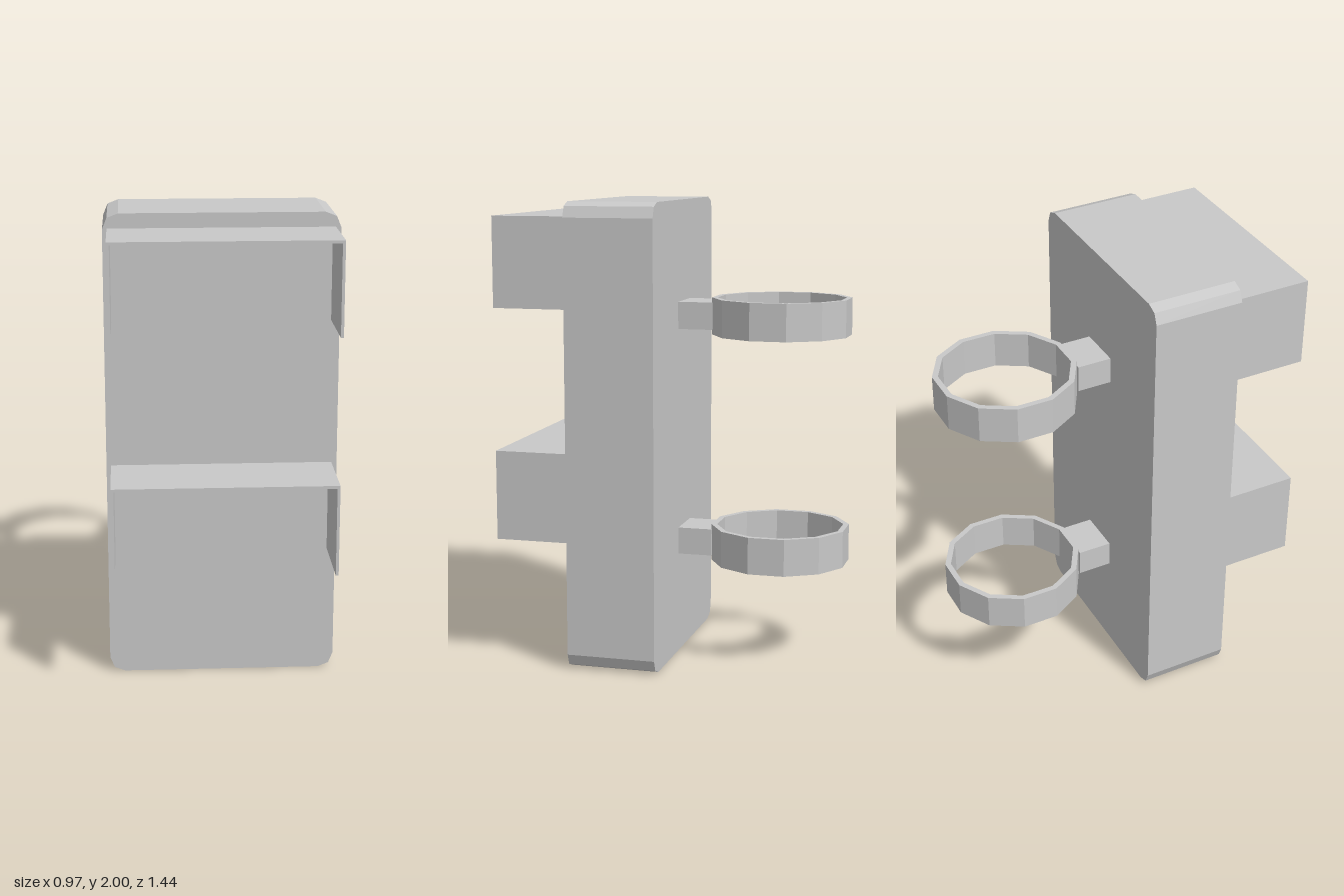
import * as THREE from 'three';

const grey = new THREE.MeshStandardMaterial({ color: 0xc8c8c8 });
grey.name = 'light grey';

function part(name, geometry, x, y, z) {
  const mesh = new THREE.Mesh(geometry, grey);
  mesh.name = name;
  mesh.position.set(x, y, z);
  return mesh;
}

const extrude = (shape, depth) =>
  new THREE.ExtrudeGeometry(shape, { depth, bevelEnabled: false });

const shapeOf = (points) => new THREE.Shape(points.map(([x, y]) => new THREE.Vector2(x, y)));

// Twelve-sided outline with flats facing the axes
function dodecagon(radius) {
  return Array.from({ length: 12 }, (_, i) => {
    const a = ((i + 0.5) / 12) * Math.PI * 2;
    return new THREE.Vector2(Math.cos(a) * radius, Math.sin(a) * radius);
  });
}

export function createModel() {
  const model = new THREE.Group();
  model.name = 'signalHousing';

  // Main slab with faceted rounded corners
  const corner = [[0.485, 0.935], [0.466, 0.982], [0.42, 1]];
  const flipped = [...corner].reverse();
  const outline = [
    ...corner,
    ...flipped.map(([x, y]) => [-x, y]),
    ...corner.map(([x, y]) => [-x, -y]),
    ...flipped.map(([x, y]) => [x, -y]),
  ];
  model.add(part('body', extrude(shapeOf(outline), 0.388), 0, 1, 0.01));

  // Thin three-sided visor, open below and in front
  const w = 0.464, t = 0.012, h = 0.387;
  const visor = extrude(shapeOf([
    [-w, 0], [-w + t, 0], [-w + t, h - t], [w - t, h - t],
    [w - t, 0], [w, 0], [w, h], [-w, h],
  ]), 0.322);

  // Flat-sided mounting ring lying level
  const ringShape = new THREE.Shape(dodecagon(0.303));
  ringShape.holes.push(new THREE.Path(dodecagon(0.278)));
  const ring = extrude(ringShape, 0.16).rotateX(-Math.PI / 2);

  const arm = new THREE.BoxGeometry(0.196, 0.118, 0.155);

  // Upper and lower sets
  for (const [label, y] of [['lower', 0], ['upper', 1]]) {
    model.add(
      part(label + 'Visor', visor, -0.002, 0.552 + y, 0.398),
      part(label + 'Ring', ring, 0, 0.424 + y, -0.429),
      part(label + 'Arm', arm, -0.002, 0.504 + y, -0.0625),
    );
  }
  return model;
}
